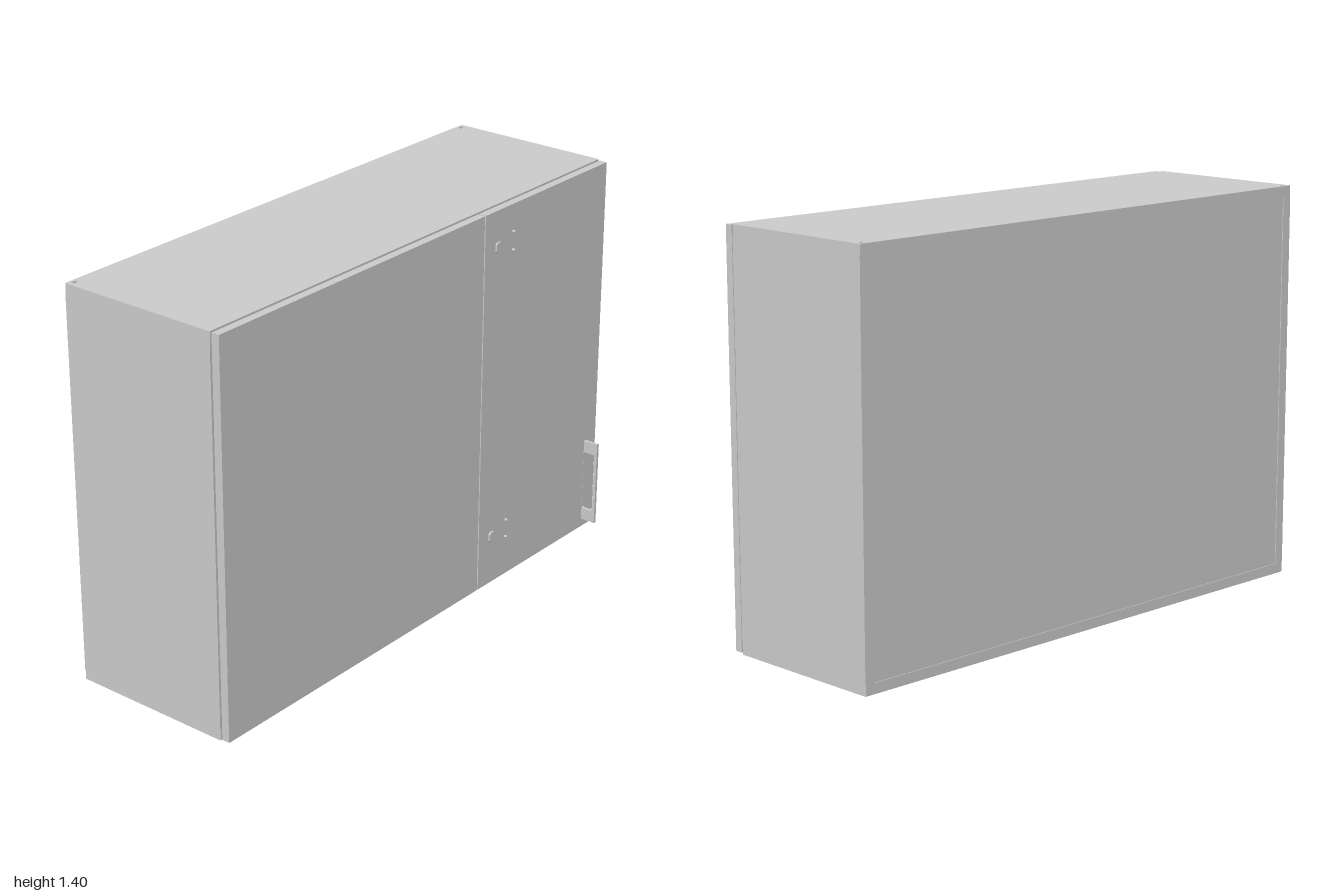
import * as THREE from 'three';

const material = new THREE.MeshStandardMaterial({ color: 0xcccccc });

// Dimensions of the cabinet
const H = 1.4, BACK = -0.345, CARCASS_FRONT = 0.255, DOOR_BACK = 0.261, FRONT = 0.29;
const T = 0.036; // board thickness

function add(parent, name, geometry) {
  const mesh = new THREE.Mesh(geometry, material);
  mesh.name = name;
  parent.add(mesh);
  return mesh;
}

// Box given by its lower and upper limits on each axis
function board(parent, name, [x0, x1], [y0, y1], [z0, z1]) {
  const mesh = add(parent, name, new THREE.BoxGeometry(x1 - x0, y1 - y0, z1 - z0));
  mesh.position.set((x0 + x1) / 2, (y0 + y1) / 2, (z0 + z1) / 2);
  return mesh;
}

function rect(Type, x0, x1, y0, y1, r = 0) {
  const s = new Type();
  s.moveTo(x0 + r, y0);
  s.lineTo(x1 - r, y0);
  if (r) s.quadraticCurveTo(x1, y0, x1, y0 + r);
  s.lineTo(x1, y1 - r);
  if (r) s.quadraticCurveTo(x1, y1, x1 - r, y1);
  s.lineTo(x0 + r, y1);
  if (r) s.quadraticCurveTo(x0, y1, x0, y1 - r);
  s.lineTo(x0, y0 + r);
  if (r) s.quadraticCurveTo(x0, y0, x0 + r, y0);
  return s;
}

const extrude = (shape, depth) =>
  new THREE.ExtrudeGeometry(shape, { depth, bevelEnabled: false, curveSegments: 4 });

function buildCarcass() {
  const g = new THREE.Group();
  g.name = 'carcass';
  const inner = [-1 + T, 1 - T];

  // Side boards
  for (const s of [-1, 1]) {
    board(g, s > 0 ? 'leftSide' : 'rightSide', s > 0 ? [1 - T, 1] : [-1, -1 + T],
      [T, H - T], [BACK, CARCASS_FRONT]);
  }

  // Bottom and top boards; the top has two small fitting slots at the back
  for (const top of [false, true]) {
    const shape = rect(THREE.Shape, -1, 1, -CARCASS_FRONT, -BACK, 0.004);
    if (top) {
      for (const x of [-0.975, 0.975]) {
        shape.holes.push(rect(THREE.Path, x - 0.009, x + 0.009, 0.32, 0.332));
      }
    }
    const mesh = add(g, top ? 'topBoard' : 'bottomBoard', extrude(shape, T));
    mesh.rotation.x = -Math.PI / 2;
    mesh.position.y = top ? H - T : 0;
  }

  // Back, partition behind the door joint, and shelves
  board(g, 'backPanel', inner, [T, H - T], [BACK + 0.003, BACK + 0.02]);
  board(g, 'partition', [0.278, 0.314], [T, H - T], [BACK + 0.02, CARCASS_FRONT]);
  board(g, 'wideShelf', [-1 + T, 0.278], [0.68, 0.716], [BACK + 0.02, 0.22]);
  board(g, 'narrowShelf', [0.314, 1 - T], [0.68, 0.716], [BACK + 0.02, 0.22]);
  return g;
}

// Hinge fitting with a faceted plate and two screw pins
function buildHinge(y) {
  const g = new THREE.Group();
  g.name = 'hinge';
  const plate = new THREE.Shape([
    [-0.011, -0.011], [-0.006, -0.017], [0.011, -0.019],
    [0.011, 0.019], [-0.006, 0.017], [-0.011, 0.011],
  ].map(([x, py]) => new THREE.Vector2(x, py)));
  add(g, 'hingePlate', extrude(plate, 0.04)).position.set(0.366, 0, 0.257);
  for (const dy of [-0.033, 0.033]) {
    const pin = add(g, 'screwPin', new THREE.CylinderGeometry(0.005, 0.005, 0.04, 12));
    pin.rotation.x = Math.PI / 2;
    pin.position.set(0.453, dy, 0.281);
  }
  g.position.y = y;
  return g;
}

// Bow handle: flat outer bar with deep end blocks
function buildHandle() {
  const shape = rect(THREE.Shape, -0.347, -FRONT, 0.035, 0.352);
  shape.holes.push(rect(THREE.Path, -0.336, -FRONT - 0.0005, 0.08, 0.307, 0.006));
  const g = new THREE.Group();
  g.name = 'handle';
  const mesh = add(g, 'handleBow', extrude(shape, 0.011));
  mesh.rotation.y = Math.PI / 2;
  mesh.position.x = 0.929;
  return g;
}

export function createModel() {
  const model = new THREE.Group();
  model.name = 'wallCabinet';
  model.add(buildCarcass());

  // Fixed wide front and hinged narrow door
  const span = [0.004, H - 0.003], depth = [DOOR_BACK, FRONT];
  board(model, 'wideFront', [-0.998, 0.294], span, depth);
  board(model, 'narrowDoor', [0.299, 0.998], span, depth);

  // Dowels joining the fronts to the carcass
  for (const x of [-0.98, 0.287, 0.306, 0.98]) {
    for (const y of [0.03, H - 0.03]) {
      board(model, 'frontDowel', [x - 0.004, x + 0.004], [y - 0.005, y + 0.005],
        [CARCASS_FRONT, DOOR_BACK]);
    }
  }

  for (const y of [0.187, 1.267]) model.add(buildHinge(y));
  model.add(buildHandle());
  return model;
}
